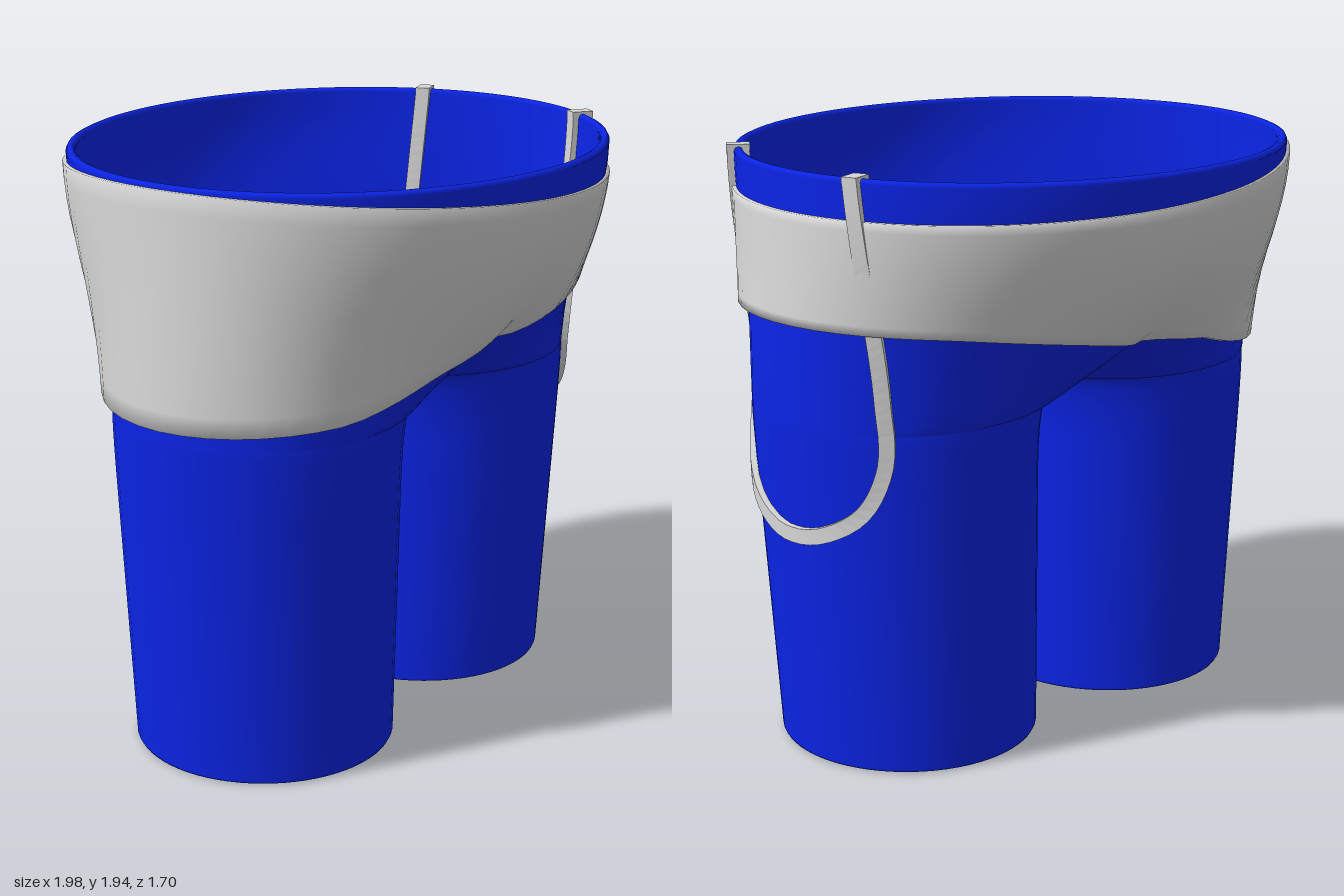
import * as THREE from 'three';
import { mergeVertices } from 'three/addons/utils/BufferGeometryUtils.js';

const CROTCH = 1.14, WAIST = 1.92, WALL = 0.03;
const { lerp, clamp, smoothstep } = THREE.MathUtils;

// Point on the +x half of the trousers; phi runs from the back seam (-90 deg) to the front seam (+90 deg).
function surface(phi, y) {
  const k = Math.min(y / CROTCH, 1);
  const u = clamp((y - 0.9) / (CROTCH - 0.9), 0, 1);
  const inner = 0.045 * Math.sqrt(1 - u * u);
  const outer = lerp(0.89, 0.96, k);
  const x = (inner + outer) / 2 + (outer - inner) / 2 * Math.cos(2 * phi);
  const z = 0.02 + 0.01 * k + lerp(0.43, 0.47, k) * Math.sin(2 * phi);
  if (y <= CROTCH) return new THREE.Vector3(x, y, z);
  // Above the crotch the leg circle opens out into half of the waist ellipse.
  const s = clamp((y - CROTCH) / (WAIST - CROTCH), 0, 1);
  const w = lerp(smoothstep(s, 0, 1), Math.sqrt(1 - (1 - s) ** 2), Math.sin(phi) ** 2);
  return new THREE.Vector3(
    Math.max(0, lerp(x, 0.945 * Math.cos(phi), w)), y, lerp(z, 0.845 * Math.sin(phi), w));
}

// Joins rows of points into a surface; closed joins the last column to the first.
function loft(rows, closed = false, flip = false) {
  const n = rows[0].length, pos = [], idx = [];
  rows.forEach(r => r.forEach(p => pos.push(p.x, p.y, p.z)));
  for (let j = 0; j < rows.length - 1; j++) {
    for (let i = 0; i < (closed ? n : n - 1); i++) {
      const a = j * n + i, b = j * n + (i + 1) % n, c = a + n, d = b + n;
      if (flip) idx.push(a, b, c, b, d, c);
      else idx.push(a, c, b, b, c, d);
    }
  }
  return { pos, idx };
}

function toGeometry(parts) {
  const pos = [], idx = [];
  for (const p of parts) {
    const base = pos.length / 3;
    for (const v of p.pos) pos.push(v);
    for (const v of p.idx) idx.push(v + base);
  }
  let g = new THREE.BufferGeometry();
  g.setAttribute('position', new THREE.Float32BufferAttribute(pos, 3));
  g.setIndex(idx);
  g = mergeVertices(g, 1e-4);
  g.computeVertexNormals();
  return g;
}

// Both halves of the outer cloth
function clothGeometry() {
  const heights = [0.012, 0.15, 0.3, 0.45, 0.6, 0.75, 0.9];
  for (let i = 1; i <= 8; i++) heights.push(0.9 + (CROTCH - 0.9) * Math.sin(i / 8 * Math.PI / 2));
  for (let i = 1; i <= 18; i++) heights.push(CROTCH + (WAIST - CROTCH) * (1 - Math.cos(i / 18 * Math.PI / 2)));
  const halves = [1, -1].map(side => loft(heights.map(y => {
    const row = [];
    for (let i = 0; i <= 48; i++) {
      const p = surface((i / 48 - 0.5) * Math.PI, y);
      p.x *= side;
      row.push(p);
    }
    return row;
  }), false, side < 0));
  return toGeometry(halves);
}

// Inner lining: the cloth moved inward along its normals and turned inside out
function liningGeometry(cloth) {
  const g = cloth.clone(), p = g.attributes.position, n = g.attributes.normal;
  for (let i = 0; i < p.count; i++) {
    const y = p.getY(i), edge = y < 0.02 || y > WAIST - 0.001;
    p.setXYZ(i, p.getX(i) - WALL * n.getX(i), edge ? y : y - WALL * n.getY(i), p.getZ(i) - WALL * n.getZ(i));
  }
  const a = g.index.array;
  for (let i = 0; i < a.length; i += 3) [a[i], a[i + 1]] = [a[i + 1], a[i]];
  g.computeVertexNormals();
  return g;
}

// Rounded elliptical hem
function hemGeometry(rx, rz) {
  const g = new THREE.TorusGeometry(rx - WALL / 2, WALL / 2, 8, 72);
  g.rotateX(Math.PI / 2);
  g.scale(1, 1, (rz - WALL / 2) / (rx - WALL / 2));
  return g;
}

// Slanted sash: deep on the right hip, narrow on the left
const SASH_EDGE = [[-1, 1.19], [-0.8, 1.21], [-0.45, 1.3], [-0.1, 1.345], [0.1, 1.35], [0.4, 1.4], [0.8, 1.455], [1, 1.47]];
function sashBottom(x) {
  for (let i = 1; i < SASH_EDGE.length; i++) {
    const [x0, y0] = SASH_EDGE[i - 1], [x1, y1] = SASH_EDGE[i];
    if (x <= x1) return lerp(y0, y1, (x - x0) / (x1 - x0));
  }
  return 1.47;
}
function sashGeometry() {
  const steps = 12, rows = [];
  for (let j = -1; j <= steps + 1; j++) {
    const t = clamp(j / steps, 0, 1), tucked = j < 0 || j > steps, row = [];
    for (let i = 0; i < 72; i++) {
      const a = (i / 72) * Math.PI * 2 - Math.PI / 2;
      const c = Math.cos(a), phi = Math.asin(clamp(Math.sin(a), -1, 1));
      const y = lerp(sashBottom(c), 1.81 + 0.11 * ((1 - c) / 2) ** 2, t);
      const p = surface(phi, y);
      const grow = tucked ? 0.995 : 1 + lerp(0.035, 0.014, t);
      row.push(new THREE.Vector3(p.x * grow * (c < 0 ? -1 : 1), y, p.z * grow));
    }
    rows.push(row);
  }
  return toGeometry([loft(rows, true)]);
}

// Point on the left outer side at a given height and depth, with its horizontal normal
function onSide(y, z) {
  let lo = -Math.PI / 4, hi = Math.PI / 4;
  for (let i = 0; i < 30; i++) {
    const mid = (lo + hi) / 2;
    if (surface(mid, y).z < z) lo = mid; else hi = mid;
  }
  const p = surface(lo, y);
  const d = surface(lo + 0.02, y).sub(surface(lo - 0.02, y));
  return { p, n: new THREE.Vector3(d.z, 0, -d.x).normalize() };
}

// Flat strap following a U on the side of the trousers
const STRAP = [[1.93, 0.455], [1.7, 0.45], [1.45, 0.45], [1.2, 0.44], [1.0, 0.38], [0.87, 0.25], [0.8, 0.1],
  [0.785, 0.02], [0.8, -0.1], [0.88, -0.23], [1.03, -0.295], [1.25, -0.3], [1.47, -0.295], [1.7, -0.28], [1.93, -0.26]];
function strapGeometry(offset) {
  const curve = new THREE.CatmullRomCurve3(STRAP.map(([y, z]) => new THREE.Vector3(0, y, z)));
  const frames = curve.getSpacedPoints(80).map(q => onSide(q.y, q.z));
  const centres = frames.map(f => f.p.clone().addScaledVector(f.n, offset));
  const rows = centres.map((c, i) => {
    const tangent = centres[Math.min(i + 1, 80)].clone().sub(centres[Math.max(i - 1, 0)]).normalize();
    const across = tangent.clone().cross(frames[i].n).normalize();
    const out = across.clone().cross(tangent).normalize();
    return [[-1, -1], [1, -1], [1, 1], [-1, 1]].map(([a, b]) =>
      c.clone().addScaledVector(across, a * 0.025).addScaledVector(out, b * 0.011));
  });
  const g = toGeometry([loft(rows, true, true)]).toNonIndexed();
  g.computeVertexNormals();
  return g;
}

export function createModel() {
  const blue = new THREE.MeshStandardMaterial({ color: 0x0b24e6, side: THREE.DoubleSide });
  blue.name = 'blue cloth';
  const white = new THREE.MeshStandardMaterial({ color: 0xd8d8d8, side: THREE.DoubleSide });
  white.name = 'white trim';

  const model = new THREE.Group();
  model.name = 'trousers';
  const add = (name, geometry, material, x = 0, y = 0, z = 0) => {
    const mesh = new THREE.Mesh(geometry, material);
    mesh.name = name;
    mesh.position.set(x, y, z);
    model.add(mesh);
    return mesh;
  };

  const cloth = clothGeometry();
  add('outerCloth', cloth, blue);
  add('lining', liningGeometry(cloth), blue);
  add('waistHem', hemGeometry(0.945, 0.845), blue, 0, WAIST, 0);
  add('leftLegHem', hemGeometry(0.423, 0.43), blue, 0.4675, 0.015, 0.02);
  add('rightLegHem', hemGeometry(0.423, 0.43), blue, -0.4675, 0.015, 0.02);

  add('sash', sashGeometry(), white);
  add('outerStrap', strapGeometry(0.01), white);
  add('innerStrap', strapGeometry(-WALL - 0.01), white);

  // Strap folds over the waist hem
  for (const z of [0.455, -0.26]) {
    const { p, n } = onSide(WAIST, z);
    const fold = add('strapFold', new THREE.BoxGeometry(0.075, 0.02, 0.05), white,
      p.x - n.x * 0.015, WAIST + 0.012, p.z - n.z * 0.015);
    fold.rotation.y = Math.atan2(-n.z, n.x);
  }
  return model;
}
